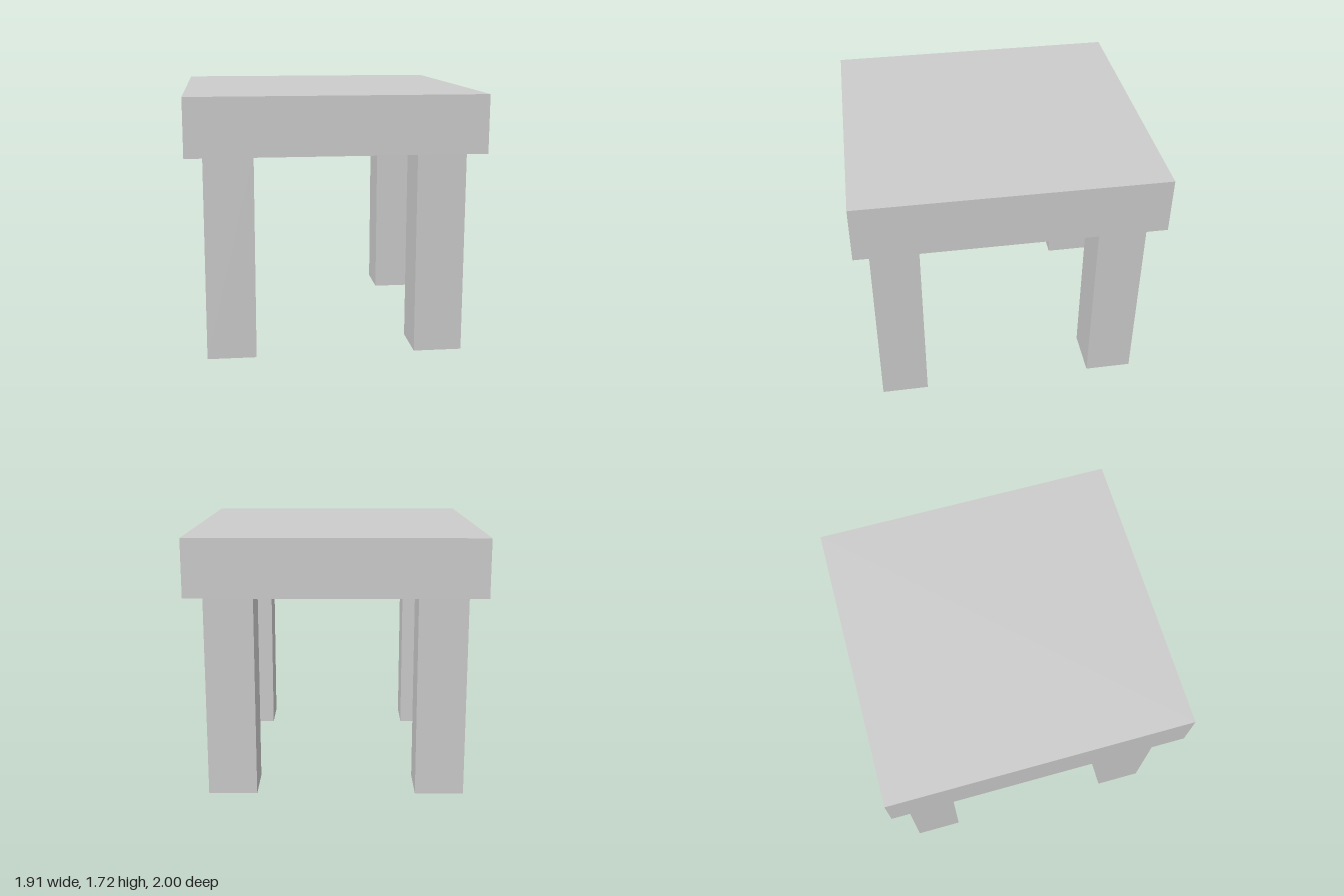
import * as THREE from 'three';

export function createModel() {
  const group = new THREE.Group();
  const material = new THREE.MeshStandardMaterial({ color: 0xcccccc, flatShading: true });

  const addBox = (name, size, position) => {
    const mesh = new THREE.Mesh(new THREE.BoxGeometry(...size), material);
    mesh.name = name;
    mesh.position.set(...position);
    group.add(mesh);
  };

  const topHeight = 1.715, legHeight = 1.338;
  const thickness = topHeight - legHeight;

  // Thick slab top
  addBox('tableTop', [1.914, thickness, 2], [0, legHeight + thickness / 2, 0]);

  // Four square legs, inset from the corners
  for (const [side, sx] of [['Left', 1], ['Right', -1]]) {
    for (const [end, sz] of [['front', 1], ['back', -1]]) {
      addBox(`${end}${side}Leg`, [0.32, legHeight, 0.318], [sx * 0.685, legHeight / 2, sz * 0.743]);
    }
  }

  return group;
}
